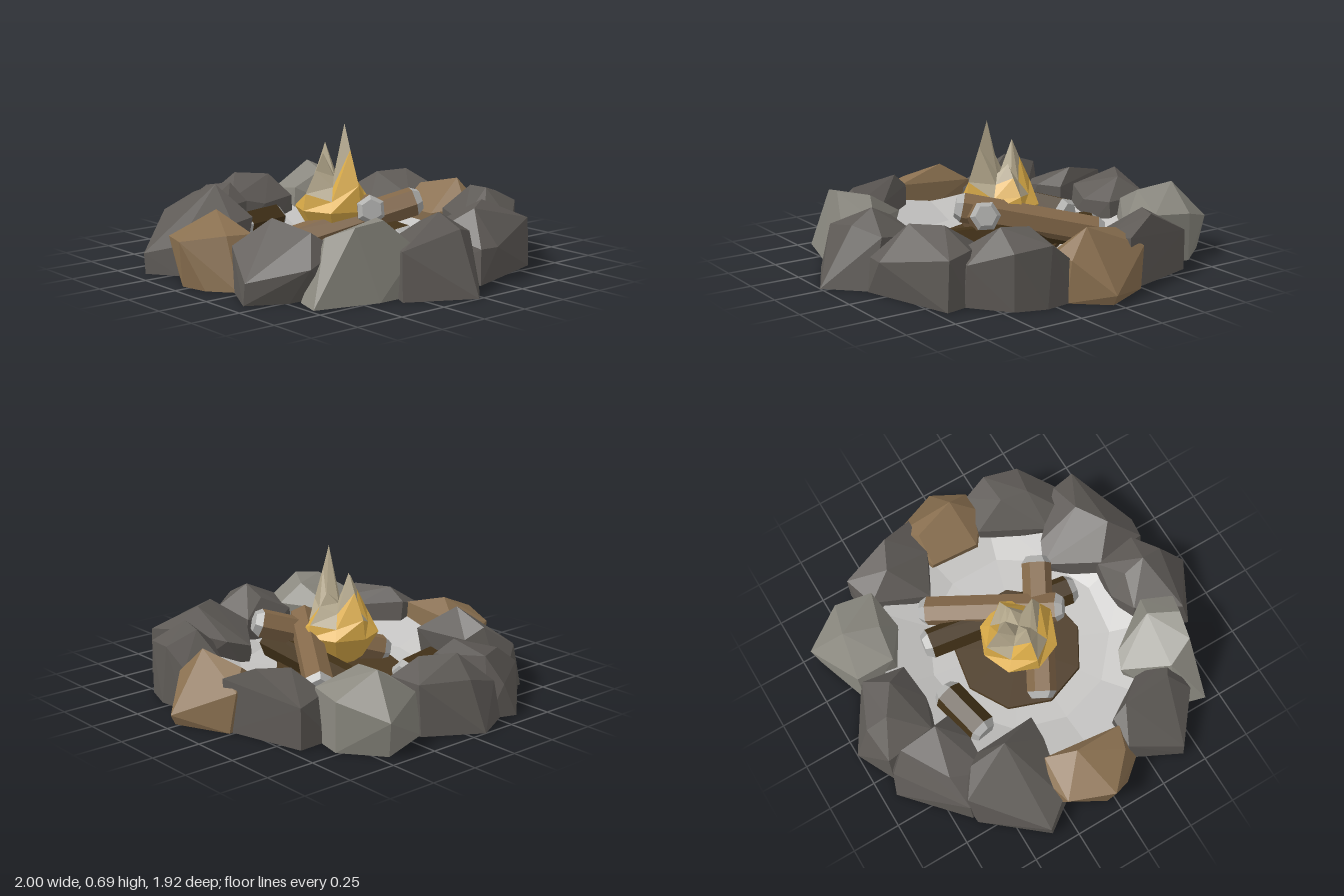
import * as THREE from 'three';
import { ConvexGeometry } from 'three/addons/geometries/ConvexGeometry.js';

const paint = (name, color) => {
  const m = new THREE.MeshStandardMaterial({ color, flatShading: true });
  m.name = name;
  return m;
};

export function createModel() {
  const model = new THREE.Group();
  model.name = 'campfire';

  const darkStone = paint('dark stone', 0x5e5a56);
  const paleStone = paint('pale stone', 0x8a887f);
  const brownStone = paint('brown stone', 0x8a7050);
  const ash = paint('ash', 0xc4c3c1);
  const soil = paint('scorched soil', 0x4b3921);
  const wood = paint('wood', 0x836849);
  const charredWood = paint('charred wood', 0x433218);
  const cutWood = paint('ashen log end', 0xb0b0ae);
  const flameBody = paint('flame', 0xdbac48);
  const flameTip = paint('flame tip', 0xb5a98d);

  const add = (name, geometry, material, parent = model) => {
    const mesh = new THREE.Mesh(geometry, material);
    mesh.name = name;
    parent.add(mesh);
    return mesh;
  };

  // Stones: a ground outline [x, z] and a crown of raised corners [x, y, z]
  const stone = (name, material, base, crown) => {
    const points = [
      ...base.map(([x, z]) => new THREE.Vector3(x, 0, z)),
      ...crown.map(([x, y, z]) => new THREE.Vector3(x, y, z)),
    ];
    add(name, new ConvexGeometry(points), material);
  };

  stone('backStone', brownStone,
    [[-0.24, -0.82], [-0.2, -0.58], [0.1, -0.56], [0.18, -0.8], [0.02, -0.94]],
    [[0.02, 0.05, -0.965], [-0.27, 0.2, -0.8], [-0.18, 0.28, -0.7], [0.04, 0.33, -0.76],
      [0.18, 0.2, -0.69], [-0.18, 0.17, -0.56], [0.07, 0.17, -0.545], [0.16, 0.2, -0.81]]);
  stone('backRightStone', darkStone,
    [[-0.61, -0.7], [-0.2, -0.81], [-0.18, -0.6], [-0.28, -0.43], [-0.6, -0.5]],
    [[-0.61, 0.2, -0.7], [-0.18, 0.25, -0.81], [-0.35, 0.33, -0.75], [-0.42, 0.32, -0.6],
      [-0.18, 0.22, -0.62], [-0.56, 0.22, -0.52], [-0.28, 0.17, -0.42]]);
  stone('rightBackStone', paleStone,
    [[-0.73, -0.6], [-0.54, -0.56], [-0.5, -0.36], [-0.6, -0.16], [-0.82, -0.16], [-0.92, -0.45]],
    [[-0.95, 0.17, -0.47], [-0.78, 0.36, -0.4], [-0.6, 0.33, -0.35], [-0.73, 0.24, -0.6],
      [-0.54, 0.25, -0.56], [-0.5, 0.15, -0.37], [-0.62, 0.25, -0.19], [-0.82, 0.22, -0.2]]);
  stone('rightStone', darkStone,
    [[-0.84, -0.18], [-0.6, -0.16], [-0.56, 0.05], [-0.6, 0.26], [-0.9, 0.28], [-1.0, 0.08]],
    [[-0.91, 0.24, 0.06], [-0.8, 0.34, 0.08], [-0.7, 0.33, -0.07], [-0.81, 0.24, -0.17],
      [-0.59, 0.22, -0.14], [-0.57, 0.2, 0.05], [-0.63, 0.24, 0.22], [-0.89, 0.19, 0.24]]);
  stone('rightFrontStone', darkStone,
    [[-0.93, 0.36], [-0.88, 0.22], [-0.54, 0.2], [-0.48, 0.5], [-0.66, 0.66]],
    [[-0.9, 0.16, 0.3], [-0.82, 0.29, 0.25], [-0.62, 0.33, 0.24], [-0.53, 0.24, 0.2],
      [-0.49, 0.23, 0.35], [-0.5, 0.2, 0.54], [-0.68, 0.25, 0.48], [-0.66, 0.14, 0.64]]);
  stone('frontRightStone', darkStone,
    [[-0.66, 0.55], [-0.5, 0.46], [-0.2, 0.46], [-0.22, 0.83], [-0.36, 0.93], [-0.65, 0.69]],
    [[-0.38, 0.385, 0.5], [-0.57, 0.32, 0.5], [-0.5, 0.25, 0.44], [-0.18, 0.24, 0.42],
      [-0.18, 0.22, 0.54], [-0.66, 0.23, 0.62], [-0.24, 0.14, 0.83], [-0.37, 0.1, 0.93]]);
  stone('frontStone', brownStone,
    [[-0.24, 0.65], [0.2, 0.67], [0.22, 0.8], [0.1, 0.9], [-0.04, 0.93], [-0.27, 0.8]],
    [[-0.09, 0.33, 0.7], [-0.23, 0.24, 0.63], [0.17, 0.25, 0.68], [0.13, 0.25, 0.8],
      [-0.02, 0.22, 0.96], [-0.24, 0.2, 0.87], [-0.27, 0.18, 0.75]]);
  stone('frontLeftStone', darkStone,
    [[0.17, 0.62], [0.38, 0.5], [0.52, 0.5], [0.52, 0.74], [0.42, 0.92], [0.18, 0.8]],
    [[0.24, 0.33, 0.62], [0.5, 0.3, 0.6], [0.16, 0.26, 0.64], [0.16, 0.21, 0.79],
      [0.6, 0.16, 0.68], [0.38, 0.22, 0.5], [0.57, 0.22, 0.5], [0.42, 0.1, 0.91]]);
  stone('leftFrontStone', paleStone,
    [[0.6, 0.18], [0.77, 0.22], [0.77, 0.42], [0.68, 0.73], [0.54, 0.69], [0.38, 0.45]],
    [[0.72, 0.36, 0.36], [0.58, 0.34, 0.28], [0.69, 0.34, 0.5], [0.55, 0.28, 0.56],
      [0.34, 0.2, 0.43], [0.38, 0.22, 0.34], [0.62, 0.24, 0.17], [0.78, 0.22, 0.21]]);
  stone('leftStone', darkStone,
    [[0.54, -0.14], [0.82, -0.15], [1.0, 0.03], [0.83, 0.34], [0.56, 0.22]],
    [[0.72, 0.355, 0.02], [0.84, 0.29, 0.0], [0.61, 0.3, 0.03], [0.54, 0.22, -0.11],
      [0.76, 0.25, -0.14], [0.52, 0.17, 0.06], [0.57, 0.22, 0.19], [0.79, 0.22, 0.31]]);
  stone('leftBackStone', darkStone,
    [[0.55, -0.58], [0.7, -0.61], [0.84, -0.14], [0.55, -0.08], [0.35, -0.26]],
    [[0.58, 0.34, -0.4], [0.68, 0.33, -0.25], [0.56, 0.26, -0.58], [0.69, 0.24, -0.61],
      [0.84, 0.17, -0.25], [0.83, 0.17, -0.15], [0.31, 0.17, -0.27], [0.36, 0.2, -0.38], [0.56, 0.22, -0.11]]);
  stone('backLeftStone', darkStone,
    [[0.14, -0.8], [0.3, -0.82], [0.45, -0.77], [0.6, -0.58], [0.5, -0.42], [0.12, -0.58]],
    [[0.27, 0.34, -0.63], [0.41, 0.35, -0.6], [0.45, 0.27, -0.77], [0.27, 0.29, -0.81],
      [0.59, 0.2, -0.6], [0.56, 0.22, -0.45], [0.43, 0.2, -0.42], [0.11, 0.2, -0.59], [0.15, 0.2, -0.79]]);

  // Dished ash bed running up between the stones, and the scorched patch in its middle
  const bed = [[0, 0], [0.54, 0], [0.72, 0.17], [0.47, 0.08], [0, 0.055]];
  add('ashBed', new THREE.LatheGeometry(bed.map((p) => new THREE.Vector2(...p)), 11), ash);
  const patch = add('scorchedPatch', new THREE.CylinderGeometry(0.325, 0.335, 0.025, 9), soil);
  patch.position.set(-0.02, 0.074, 0.03);

  // Logs: hexagonal bars with bevelled ashen ends
  const up = new THREE.Vector3(0, 1, 0);
  const log = (name, material, from, to, r) => {
    const a = new THREE.Vector3(...from), b = new THREE.Vector3(...to);
    const length = a.distanceTo(b), cap = 0.035;
    const group = new THREE.Group();
    group.name = name;
    group.position.copy(a).lerp(b, 0.5);
    group.quaternion.setFromUnitVectors(up, b.clone().sub(a).normalize());
    add('logBody', new THREE.CylinderGeometry(r, r, length - cap * 2, 6), material, group);
    for (const s of [1, -1]) {
      const end = add('logEnd', new THREE.CylinderGeometry(r * 0.7, r, cap, 6), cutWood, group);
      end.position.y = s * (length - cap) / 2;
      if (s < 0) end.rotation.x = Math.PI;
    }
    model.add(group);
  };
  log('leaningLog', wood, [-0.36, 0.15, -0.38], [0.25, 0.29, 0.02], 0.075);
  log('crossingLog', wood, [0.27, 0.31, -0.28], [-0.06, 0.11, 0.33], 0.075);
  log('charredLog', charredWood, [-0.44, 0.14, -0.21], [0.39, 0.14, -0.09], 0.078);
  log('shortCharredLog', charredWood, [-0.47, 0.14, 0.04], [-0.4, 0.14, 0.35], 0.08);

  // Flame: a round bulb opening into a crown of four spikes with valleys between them
  const spikes = [0.695, 0.43, 0.545, 0.43, 0.585, 0.43, 0.48, 0.43];
  const count = spikes.length;
  // Point on ring i at spike k, rising from the foot over the tips and down into the middle
  const flamePoint = (i, k) => {
    const angle = (k % count) / count * Math.PI * 2;
    const tip = spikes[k % count], rise = tip - 0.27;
    const [r, y] = [[0, 0.08], [0.12, 0.14], [0.2, 0.27], [0.185, 0.27 + rise * 0.3],
      [0.12, 0.27 + rise * 0.7], [0.075, tip], [0, 0.42]][i];
    const pinch = i > 2 && k % 2 ? 0.8 : 1;
    return [r * pinch * Math.cos(angle), y, r * pinch * Math.sin(angle)];
  };
  const bodyFaces = [], tipFaces = [];
  for (let i = 0; i < 6; i++) {
    for (let k = 0; k < count; k++) {
      const a = flamePoint(i, k), b = flamePoint(i, k + 1);
      const c = flamePoint(i + 1, k + 1), d = flamePoint(i + 1, k);
      const isTip = i > 3 || (i === 3 && k % 2 === 1);
      const faces = isTip ? tipFaces : bodyFaces;
      if (i > 0) faces.push(...a, ...d, ...b);
      if (i < 5) faces.push(...b, ...d, ...c);
    }
  }
  for (const [name, faces, material] of [['flameBody', bodyFaces, flameBody], ['flameTips', tipFaces, flameTip]]) {
    const g = new THREE.BufferGeometry();
    g.setAttribute('position', new THREE.Float32BufferAttribute(faces, 3));
    g.computeVertexNormals();
    add(name, g, material).position.set(-0.02, 0, 0.03);
  }

  return model;
}
